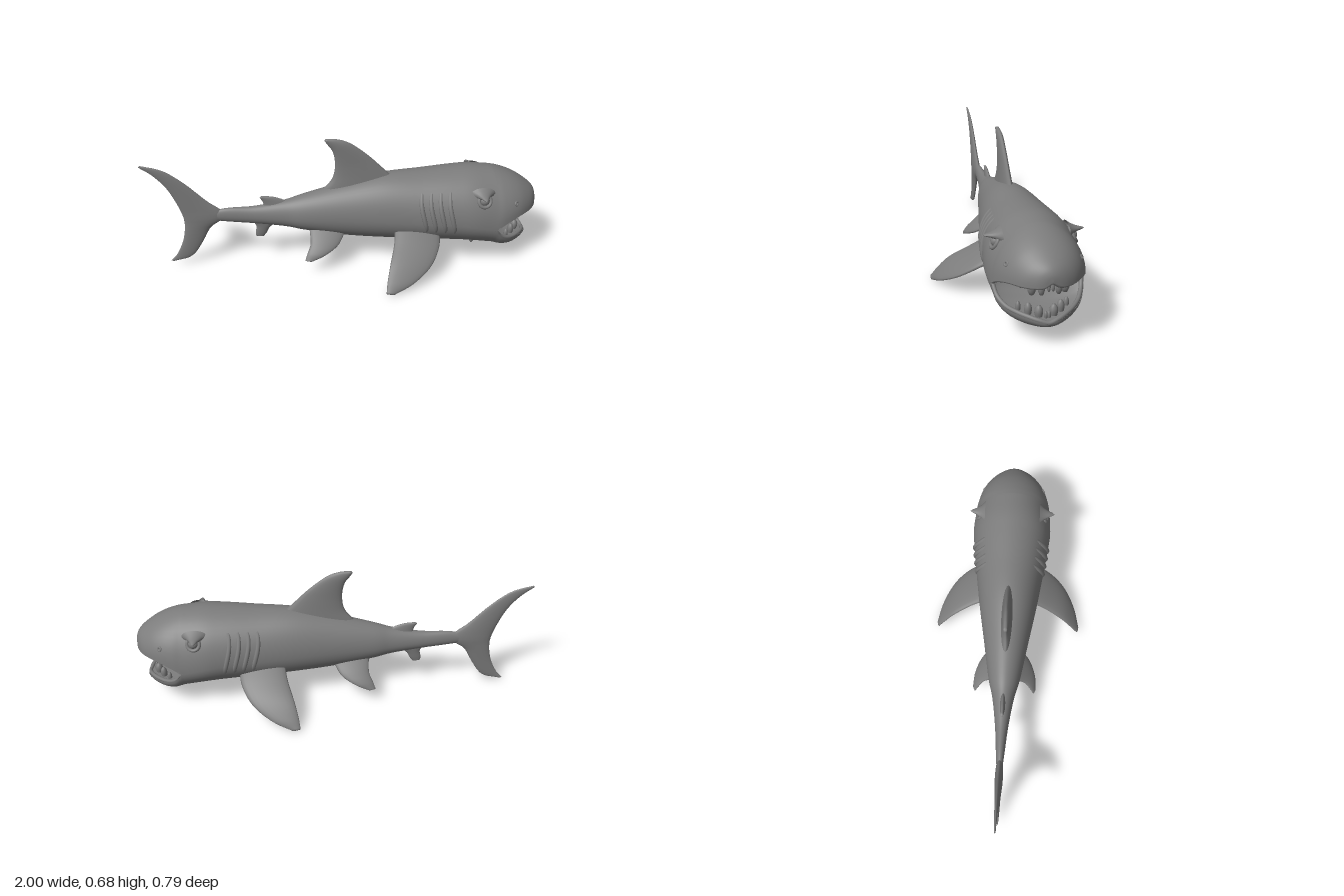
import * as THREE from 'three';
import { mergeGeometries, mergeVertices } from 'three/addons/utils/BufferGeometryUtils.js';

const skin = new THREE.MeshStandardMaterial({ color: 0x7c7c7c, side: THREE.DoubleSide });
skin.name = 'grey skin';
const V = (p) => new THREE.Vector3(...p);

// Surface through a list of rings of points
function loft(rings) {
  const n = rings[0].length, pos = [], index = [];
  rings.forEach((r) => r.forEach((p) => pos.push(p.x, p.y, p.z)));
  for (let i = 0; i < rings.length - 1; i++) {
    for (let j = 0; j < n - 1; j++) {
      const a = i * n + j, b = a + n;
      index.push(a, b, a + 1, a + 1, b, b + 1);
    }
  }
  const g = new THREE.BufferGeometry();
  g.setAttribute('position', new THREE.Float32BufferAttribute(pos, 3));
  g.setIndex(index);
  return g;
}

// Welds shared edges and smooths the normals
function smooth(...geos) {
  const g = mergeVertices(mergeGeometries(geos), 1e-5);
  g.computeVertexNormals();
  return g;
}

// Refines rows of [x, edge height, side height, half width]
function refine(rows, steps = 6) {
  const curve = (f) => new THREE.CatmullRomCurve3(rows.map(f), false, 'catmullrom', 0.5);
  const a = curve((r) => V([r[0], r[1], r[2]])), b = curve((r) => V([r[0], r[3], 0]));
  const n = (rows.length - 1) * steps;
  return Array.from({ length: n + 1 }, (_, i) => {
    const p = a.getPoint(i / n), q = b.getPoint(i / n);
    return [p.x, p.y, p.z, Math.max(0, q.y)];
  });
}

const onRow = ([x, edge, side, w], t) =>
  V([x, side + Math.abs(edge - side) * Math.sin(t), w * Math.cos(t)]);

// Half shell: dir 1 arches up, -1 hangs down
function shell(rows, dir) {
  const start = dir > 0 ? 0 : Math.PI, n = 24;
  return loft(refine(rows).map((r) =>
    Array.from({ length: n + 1 }, (_, j) => onRow(r, start + (j / n) * Math.PI))));
}

// Lens-section fin between a leading and a trailing edge
function fin(lead, trail, normal, thick) {
  const a = new THREE.CatmullRomCurve3(lead.map(V)), b = new THREE.CatmullRomCurve3(trail.map(V));
  const nrm = V(normal).normalize(), rings = [], n = 28, m = 20;
  for (let i = 0; i <= n; i++) {
    const u = i / n, p = a.getPoint(u), q = b.getPoint(u);
    const k = u * (thick.length - 1), k0 = Math.min(Math.floor(k), thick.length - 2);
    const th = THREE.MathUtils.lerp(thick[k0], thick[k0 + 1], k - k0);
    const mid = p.clone().add(q).multiplyScalar(0.5), half = p.clone().sub(q).multiplyScalar(0.5);
    rings.push(Array.from({ length: m + 1 }, (_, j) => {
      const t = (j / m) * Math.PI * 2;
      return mid.clone().addScaledVector(half, Math.cos(t)).addScaledVector(nrm, th * Math.sin(t));
    }));
  }
  // close the tip
  const last = rings[n], c = last[0].clone().add(last[m / 2]).multiplyScalar(0.5);
  rings.push(last.map(() => c.clone()));
  return smooth(loft(rings));
}

export function createModel() {
  const root = new THREE.Group();
  root.name = 'shark';
  const add = (name, geo, pos = [0, 0, 0], rot = [0, 0, 0], scale = [1, 1, 1]) => {
    const m = new THREE.Mesh(geo, skin);
    m.name = name;
    m.position.set(...pos);
    m.rotation.set(...rot);
    m.scale.set(...scale);
    root.add(m);
    return m;
  };
  // Adds a part and its mirror image across z = 0
  const pair = (name, ...rest) => {
    const m = add(name + 'Right', ...rest), g = new THREE.Group();
    const c = m.clone();
    g.name = c.name = name + 'Left';
    g.scale.z = -1;
    g.add(c);
    root.add(g);
  };

  // Trunk: x, top, side, bottom, half width
  const trunk = [
    [-0.72, 0.3, 0.285, 0.27, 0.008], [-0.6, 0.325, 0.285, 0.25, 0.02], [-0.45, 0.328, 0.275, 0.23, 0.033],
    [-0.3, 0.352, 0.27, 0.207, 0.055], [-0.2, 0.38, 0.27, 0.183, 0.08], [0, 0.43, 0.275, 0.145, 0.115],
    [0.2, 0.472, 0.275, 0.125, 0.15], [0.4, 0.483, 0.27, 0.112, 0.18], [0.55, 0.492, 0.265, 0.105, 0.2],
    [0.65, 0.495, 0.25, 0.098, 0.21], [0.76, 0.485, 0.225, 0.08, 0.205],
  ];
  const back = trunk.map(([x, t, s, , w]) => [x, t, s, w]);
  const belly = trunk.map(([x, , s, b, w]) => [x, b, s, w]);
  // Jaws: x, outer height, lip height, half width
  const upper = [
    [0.76, 0.485, 0.225, 0.205], [0.8, 0.475, 0.25, 0.198], [0.85, 0.457, 0.272, 0.182], [0.9, 0.432, 0.285, 0.157],
    [0.95, 0.398, 0.288, 0.118], [0.98, 0.372, 0.29, 0.078], [0.995, 0.347, 0.295, 0.042], [1, 0.32, 0.315, 0],
  ];
  const lower = [
    [0.76, 0.08, 0.225, 0.205], [0.8, 0.074, 0.178, 0.192], [0.85, 0.072, 0.153, 0.166], [0.9, 0.078, 0.143, 0.127],
    [0.94, 0.09, 0.134, 0.08], [0.957, 0.1, 0.126, 0.048], [0.965, 0.113, 0.116, 0],
  ];
  add('bodyAndHead', smooth(shell(back, 1), shell(upper, 1), shell(belly, -1), shell(lower, -1)));

  // Mouth lining
  const lining = (rows, f) => rows.map(([x, e, l, w]) => [x - 0.002, l + f * (e - l), l, w * 0.985]);
  add('palate', smooth(shell([[0.62, 0.24, 0.235, 0.06], [0.7, 0.28, 0.23, 0.15], ...lining(upper, 0.28)], 1)));
  add('mouthFloor', smooth(shell([[0.62, 0.23, 0.235, 0.06], [0.7, 0.19, 0.23, 0.15], ...lining(lower, 0.35)], -1)));

  // Rounded lips
  for (const [name, rows] of [['upperLip', upper], ['lowerLip', lower]]) {
    const side = rows.map(([x, , l, w]) => [x - 0.01, l, Math.max(0, w - 0.009)]);
    const pts = [...side, ...side.slice(0, -1).reverse().map(([x, y, z]) => [x, y, -z])].map(V);
    add(name, new THREE.TubeGeometry(new THREE.CatmullRomCurve3(pts), 90, 0.01, 10));
  }

  // Teeth: x, z, height, radius
  const tooth = new THREE.LatheGeometry(
    [[0, 0], [0.5, 0.08], [0.9, 0.35], [1, 0.65], [0.8, 1]].map((p) => new THREE.Vector2(...p)), 12);
  for (const [x, z, h, r] of [[0.9, 0.108, 0.04, 0.01], [0.93, 0.07, 0.062, 0.019], [0.955, 0.036, 0.055, 0.015], [0.968, 0.009, 0.035, 0.008]])
    pair('upperTooth', tooth, [x, 0.297 - h, z], [0, 0, 0], [r, h, r]);
  for (const [x, z, h, r] of [[0.84, 0.105, 0.045, 0.012], [0.875, 0.07, 0.052, 0.017], [0.905, 0.032, 0.05, 0.019], [0.925, 0.007, 0.03, 0.008]])
    pair('lowerTooth', tooth, [x, 0.125 + h, z], [Math.PI, 0, 0], [r, h, r]);

  // Gill folds lying on the flanks
  const up = refine(back), down = refine(belly);
  const skinPoint = (x, t) => {
    const rows = t >= 0 ? up : down;
    const i = rows.findIndex((r) => r[0] >= x), a = rows[i - 1], b = rows[i];
    const k = (x - a[0]) / (b[0] - a[0]);
    return onRow(a.map((v, j) => THREE.MathUtils.lerp(v, b[j], k)), t);
  };
  for (let g = 0; g < 4; g++) {
    const pts = Array.from({ length: 9 }, (_, i) => {
      const s = i / 8, p = skinPoint(0.39 + g * 0.047 + 0.015 * Math.cos(s * 4), -0.3 + s * 1.05);
      p.z -= 0.012 * (2 * s - 1) ** 2 + 0.001;
      return p;
    });
    pair('gillFold', new THREE.TubeGeometry(new THREE.CatmullRomCurve3(pts), 24, 0.012, 8));
  }

  // Eyes with pointed brows, nostrils and chin barb
  pair('eye', new THREE.SphereGeometry(0.025, 20, 14), [0.69, 0.385, 0.166]);
  pair('eyeRim', new THREE.TorusGeometry(0.031, 0.009, 10, 28), [0.69, 0.385, 0.172], [-0.45, 0.1, 0]);
  const spike = new THREE.LatheGeometry(
    [[0.07, 0], [0.042, 0.02], [0.022, 0.045], [0.01, 0.068], [0, 0.08]].map((p) => new THREE.Vector2(...p)), 20);
  pair('brow', spike, [0.685, 0.412, 0.145], [Math.PI / 2, 0, 0], [0.9, 1, 0.5]);
  pair('nostril', new THREE.TorusGeometry(0.009, 0.005, 8, 16), [0.86, 0.352, 0.159], [-0.4, 0.5, 0]);
  add('chinBarb', spike, [0.7, 0.1, 0], [Math.PI, 0, 0.12], [0.95, 0.95, 0.45]);

  // Fins
  const Z = [0, 0, 1], flat = (pts) => pts.map(([x, y]) => [x, y, 0]);
  add('dorsalFin', fin(
    flat([[0.27, 0.44], [0.2, 0.51], [0.12, 0.59], [0.03, 0.66], [-0.03, 0.682], [-0.08, 0.686]]),
    flat([[-0.1, 0.41], [-0.055, 0.47], [-0.042, 0.55], [-0.055, 0.62], [-0.075, 0.65], [-0.093, 0.676]]), Z, [0.03, 0.02, 0.015, 0.009]));
  add('secondDorsalFin', fin(
    flat([[-0.27, 0.335], [-0.31, 0.36], [-0.36, 0.378], [-0.41, 0.384]]),
    flat([[-0.44, 0.305], [-0.41, 0.325], [-0.41, 0.35], [-0.425, 0.376]]), Z, [0.016, 0.011, 0.006]));
  add('analFin', fin(
    flat([[-0.34, 0.23], [-0.38, 0.2], [-0.4, 0.165], [-0.415, 0.146]]),
    flat([[-0.47, 0.245], [-0.45, 0.21], [-0.455, 0.175], [-0.455, 0.152]]), Z, [0.016, 0.011, 0.006]));
  add('tailFin', fin(
    flat([[-0.88, 0.025], [-0.79, 0.05], [-0.725, 0.14], [-0.68, 0.22], [-0.6, 0.285], [-0.69, 0.375], [-0.8, 0.49], [-0.89, 0.558], [-0.99, 0.59]]),
    flat([[-0.9, 0.028], [-0.87, 0.06], [-0.83, 0.14], [-0.812, 0.22], [-0.812, 0.28], [-0.835, 0.36], [-0.88, 0.46], [-0.94, 0.535], [-1, 0.583]]),
    Z, [0.004, 0.011, 0.02, 0.011, 0.004]));
  pair('pectoralFin', fin(
    [[0.48, 0.205, 0.13], [0.465, 0.16, 0.21], [0.41, 0.1, 0.295], [0.31, 0.045, 0.36], [0.21, 0.008, 0.39]],
    [[0.25, 0.225, 0.12], [0.235, 0.18, 0.2], [0.2, 0.115, 0.3], [0.18, 0.055, 0.355], [0.172, 0.014, 0.385]],
    [0, 0.75, 0.66], [0.026, 0.02, 0.014, 0.008]));
  pair('pelvicFin', fin(
    [[0, 0.185, 0.07], [-0.04, 0.14, 0.12], [-0.11, 0.105, 0.155], [-0.18, 0.078, 0.165]],
    [[-0.18, 0.205, 0.05], [-0.18, 0.15, 0.11], [-0.2, 0.11, 0.14], [-0.212, 0.08, 0.155]],
    [0, 0.6, 0.8], [0.018, 0.014, 0.007]));

  return root;
}
